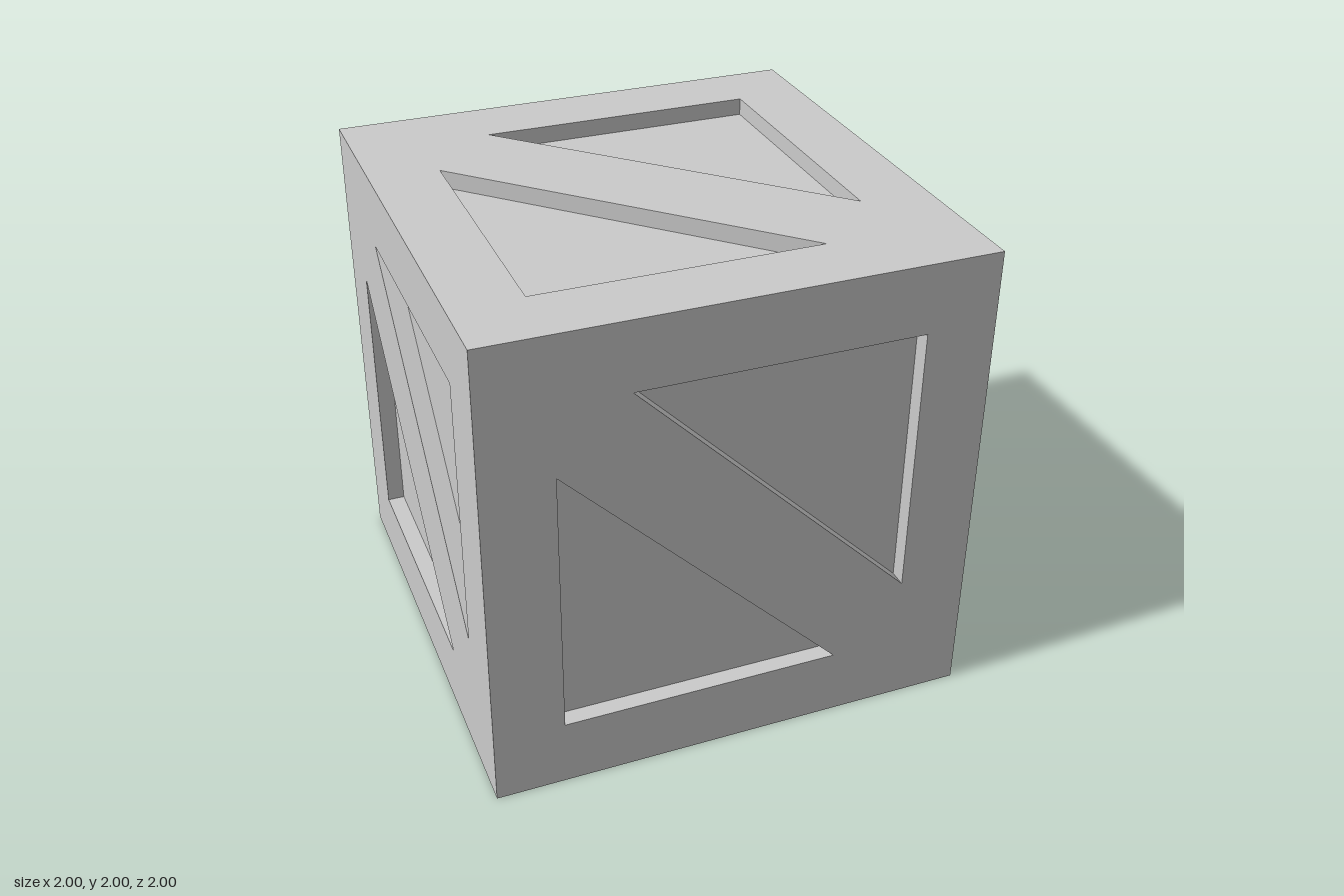
import * as THREE from 'three';
import { mergeGeometries } from 'three/addons/utils/BufferGeometryUtils.js';

const HALF = 1;          // half the cube's edge
const INNER = 5 / 7;     // right-angle corner of each recess
const TIP = 3 / 7;       // sharp corners of each recess
const DEPTH = 1 / 14;    // recess depth

// Non-indexed, positions and normals only, so the pieces can merge
function plain(geometry) {
  const g = geometry.index ? geometry.toNonIndexed() : geometry;
  g.deleteAttribute('uv');
  g.computeVertexNormals();
  return g;
}

// Side walls of a recess, facing inward; points run counter-clockwise
function recessWalls(points) {
  const positions = [];
  points.forEach((p, i) => {
    const q = points[(i + 1) % points.length];
    positions.push(p.x, p.y, 0, q.x, q.y, 0, q.x, q.y, -DEPTH);
    positions.push(p.x, p.y, 0, q.x, q.y, -DEPTH, p.x, p.y, -DEPTH);
  });
  const g = new THREE.BufferGeometry();
  g.setAttribute('position', new THREE.Float32BufferAttribute(positions, 3));
  return plain(g);
}

// One cube face: a square with two sunken triangles either side of a diagonal band
function panelGeometry() {
  const square = new THREE.Shape([[-1, -1], [1, -1], [1, 1], [-1, 1]]
    .map(([x, y]) => new THREE.Vector2(x * HALF, y * HALF)));
  const pieces = [];
  for (const s of [1, -1]) {
    const triangle = [[-INNER, -INNER], [TIP, -INNER], [-INNER, TIP]]
      .map(([x, y]) => new THREE.Vector2(x * s, y * s));
    square.holes.push(new THREE.Path(triangle));
    pieces.push(recessWalls(triangle));
    pieces.push(plain(new THREE.ShapeGeometry(new THREE.Shape(triangle)).translate(0, 0, -DEPTH)));
  }
  pieces.push(plain(new THREE.ShapeGeometry(square)));
  return mergeGeometries(pieces).translate(0, 0, HALF);
}

export function createModel() {
  const model = new THREE.Group();
  model.name = 'panelledCube';
  const material = new THREE.MeshStandardMaterial({ color: 0xcccccc, flatShading: true });
  const panel = panelGeometry();
  const quarter = Math.PI / 2;

  // name, turn about x, turn about y, turn in the panel's own plane
  const faces = [
    ['frontPanel', 0, 0, 0],
    ['backPanel', 0, 2, 1],
    ['leftPanel', 0, 1, 1],
    ['rightPanel', 0, -1, 0],
    ['topPanel', -1, 0, 0],
    ['bottomPanel', 1, 0, 1],
  ];
  for (const [name, rx, ry, spin] of faces) {
    const mesh = new THREE.Mesh(panel, material);
    mesh.name = name;
    mesh.rotation.set(rx * quarter, ry * quarter, spin * quarter);
    mesh.position.y = HALF;
    model.add(mesh);
  }
  return model;
}
